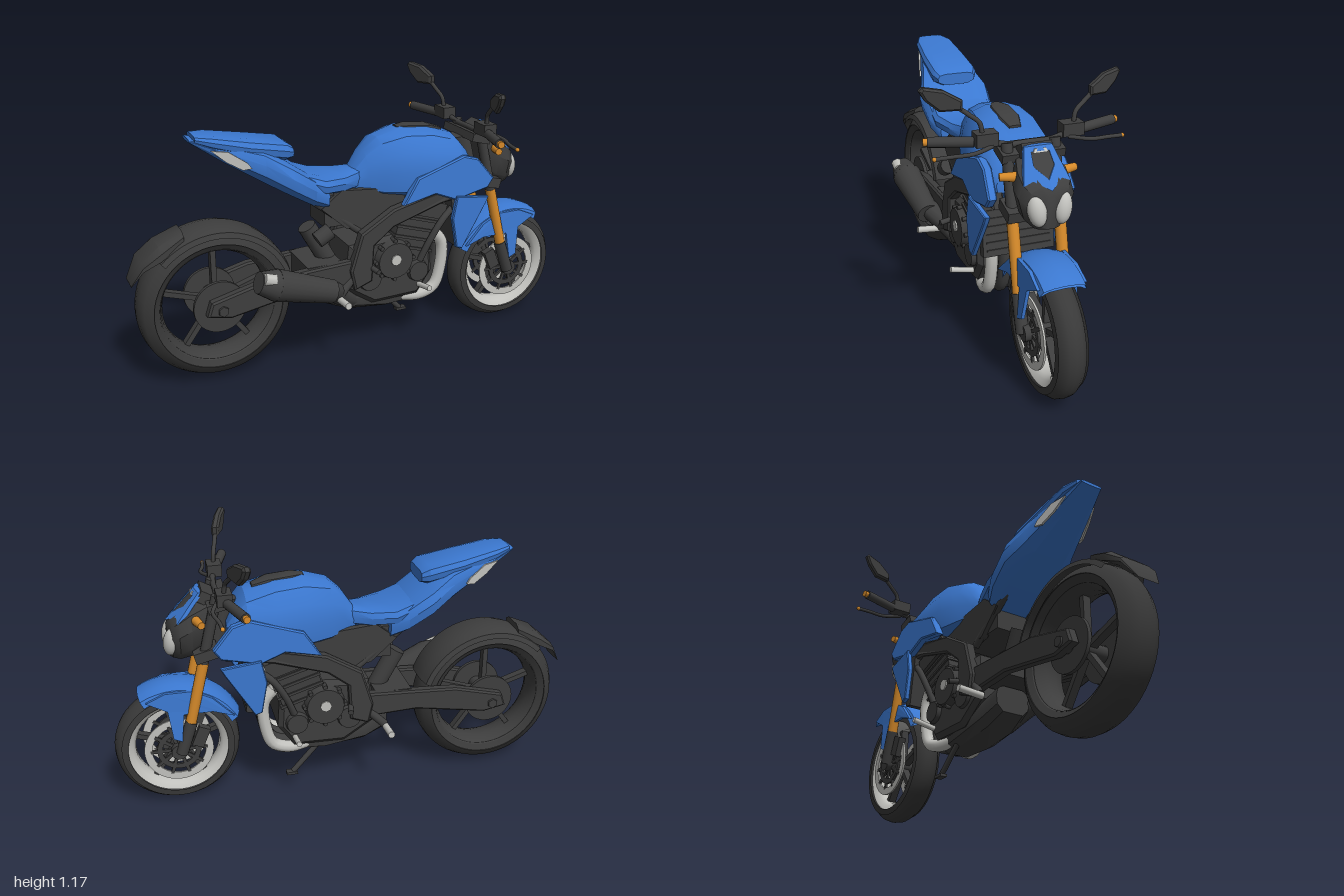
import * as THREE from 'three';
import { toCreasedNormals } from 'three/addons/utils/BufferGeometryUtils.js';

const paint = (name, color) => {
  const m = new THREE.MeshStandardMaterial({ color, side: THREE.DoubleSide });
  m.name = name;
  return m;
};

export function createModel() {
  const blue = paint('bluePaint', 0x3b78d0), dark = paint('charcoal', 0x3e3e3e), rubber = paint('rubber', 0x393939);
  const orange = paint('orange', 0xd68a2a), silver = paint('silver', 0xc2c2be);
  const root = new THREE.Group();
  const V = (p) => new THREE.Vector3(...p);

  function add(name, geo, mat, pos = [0, 0, 0]) {
    const m = new THREE.Mesh(geo, mat);
    m.name = name;
    m.position.set(...pos);
    root.add(m);
    return m;
  }
  const both = (fn) => [1, -1].forEach((s) => fn(s, s > 0 ? 'left' : 'right'));
  const box = (name, w, h, d, pos, mat, tilt = 0) => {
    add(name, new THREE.BoxGeometry(w, h, d), mat, pos).rotation.z = tilt;
  };
  // Straight rod between two points, radius r0 at a and r1 at b
  function bar(name, a, b, r0, mat, r1 = r0, n = 14) {
    const A = V(a), d = V(b).sub(A);
    const m = add(name, new THREE.CylinderGeometry(r1, r0, d.length(), n), mat);
    m.position.copy(A).addScaledVector(d, 0.5);
    m.quaternion.setFromUnitVectors(new THREE.Vector3(0, 1, 0), d.normalize());
  }
  const tube = (name, pts, r, mat) =>
    add(name, new THREE.TubeGeometry(new THREE.CatmullRomCurve3(pts.map(V)), 24, r, 10), mat);
  // Side outline in x,y; zAt gives the middle of the plate at each point
  function plate(name, pts, zAt, thick, mat, bevel = 0) {
    const shape = new THREE.Shape(pts.map((p) => new THREE.Vector2(...p)));
    const geo = new THREE.ExtrudeGeometry(shape, { depth: thick, bevelEnabled: bevel > 0,
      bevelSize: bevel, bevelOffset: -bevel, bevelThickness: bevel, bevelSegments: 1 });
    const p = geo.attributes.position;
    for (let i = 0; i < p.count; i++) p.setZ(i, p.getZ(i) - thick / 2 + zAt(p.getX(i), p.getY(i)));
    geo.computeVertexNormals();
    return add(name, geo, mat);
  }
  // The same, but the outline lies in z,y and the plate faces forwards
  const facing = (name, pts, xAt, thick, mat, bevel) => {
    plate(name, pts.map(([z, y]) => [-z, y]), xAt, thick, mat, bevel).rotation.y = Math.PI / 2;
  };
  // Closed body through sections [x, bottom, top, half width]; profile holds the left half in units
  function loft(name, sections, half, mat, crease = 0.55) {
    const ring = [...half, ...half.slice().reverse().map(([z, y]) => [-z, y])];
    const n = ring.length, pos = [], idx = [];
    sections.forEach(([x, b, t, w]) => ring.forEach(([z, y]) => pos.push(x, b + (t - b) * y, z * w)));
    for (let i = 0; i < sections.length - 1; i++) for (let j = 0; j < n; j++) {
      const a = i * n + j, b = i * n + (j + 1) % n;
      idx.push(a, a + n, b, b, a + n, b + n);
    }
    const e = (sections.length - 1) * n;
    for (let j = 1; j < n - 1; j++) idx.push(0, j, j + 1, e, e + j + 1, e + j);
    const geo = new THREE.BufferGeometry();
    geo.setAttribute('position', new THREE.Float32BufferAttribute(pos, 3));
    geo.setIndex(idx);
    add(name, toCreasedNormals(geo, crease), mat);
  }
  // Profile [radius, z] turned about the axle; angles run from +x towards up
  function turned(name, pts, mat, pos, from = 0, sweep = 360, n = 56) {
    const rad = Math.PI / 180;
    const geo = new THREE.LatheGeometry(pts.map((p) => new THREE.Vector2(...p)), n, from * rad + Math.PI / 2, sweep * rad);
    geo.rotateX(Math.PI / 2);
    add(name, toCreasedNormals(geo, 0.7), mat, pos);
  }
  const band = (r0, r1, w) => [[r0, -w], [r1, -w], [r1, w], [r0, w], [r0, -w]];

  // Wheels
  function wheel(name, c, R, ri, w, rimMat, rimIn) {
    turned(name + 'Tyre', [[ri, -w * 0.75], [ri + 0.03, -w * 0.95], [R - 0.055, -w], [R - 0.02, -w * 0.75], [R - 0.004, -w * 0.4],
      [R, 0], [R - 0.004, w * 0.4], [R - 0.02, w * 0.75], [R - 0.055, w], [ri + 0.03, w * 0.95], [ri, w * 0.75], [ri, -w * 0.75]], rubber, c);
    turned(name + 'Rim', [[rimIn, -0.02], [rimIn + 0.012, -w * 0.6], [ri + 0.004, -w * 0.8], [ri + 0.004, w * 0.8],
      [rimIn + 0.012, w * 0.6], [rimIn, 0.02], [rimIn, -0.02]], rimMat, c);
    bar(name + 'Hub', [c[0], c[1], -0.1], [c[0], c[1], 0.1], 0.034, dark);
    for (let i = 0; i < 5; i++) {
      const a = (i / 5) * Math.PI * 2 + Math.PI / 2, r = (rimIn + 0.03) / 2;
      box(name + 'Spoke', rimIn, 0.022, 0.035, [c[0] + Math.cos(a) * r, c[1] + Math.sin(a) * r, 0], dark, a);
    }
  }
  const FC = [0.73, 0.27, 0], RC = [-0.655, 0.345, 0];
  wheel('frontWheel', FC, 0.265, 0.208, 0.062, silver, 0.178);
  wheel('rearWheel', RC, 0.325, 0.24, 0.09, dark, 0.222);
  both((s, side) => {
    const c = [FC[0], FC[1], s * 0.07];
    turned(side + 'BrakeDisc', band(0.112, 0.145, 0.004), silver, c);
    turned(side + 'DiscCarrier', band(0.07, 0.092, 0.005), dark, c);
    for (let i = 0; i < 10; i++) {
      const a = i * Math.PI / 5;
      box(side + 'DiscArm', 0.09, 0.014, 0.01, [c[0] + Math.cos(a) * 0.075, c[1] + Math.sin(a) * 0.075, c[2]], dark, a);
    }
    box(side + 'Caliper', 0.05, 0.09, 0.035, [0.635, 0.33, s * 0.08], dark, 0.4);
    turned(side + 'RearDisc', band(0.035, 0.11, 0.008), dark, [RC[0], RC[1], s * 0.08]);
  });

  // Front mudguard with fork guards, and rear hugger
  turned('frontMudguard', [[0.255, -0.092], [0.285, -0.082], [0.298, -0.045], [0.302, 0], [0.298, 0.045], [0.285, 0.082], [0.255, 0.092],
    [0.28, 0.06], [0.288, 0], [0.28, -0.06], [0.255, -0.092]], blue, FC, 60, 93, 20);
  turned('rearHugger', [[0.3, -0.1], [0.322, -0.093], [0.333, -0.05], [0.335, 0], [0.333, 0.05], [0.322, 0.093], [0.3, 0.1]], dark, RC, 20, 115, 24);
  loft('huggerTail', [[-0.995, 0.48, 0.487, 0.05], [-0.95, 0.55, 0.575, 0.085], [-0.88, 0.585, 0.635, 0.095], [-0.78, 0.64, 0.68, 0.07]],
    [[0.5, 0], [1, 0], [1, 0.6], [0.6, 1]], dark);
  both((s, side) => {
    plate(side + 'ForkGuard', [[0.49, 0.42], [0.58, 0.45], [0.7, 0.45], [0.715, 0.33], [0.75, 0.345], [0.765, 0.47], [0.85, 0.515],
      [0.77, 0.55], [0.66, 0.55], [0.58, 0.51]], (x, y) => s * (0.09 + Math.max(0, 0.52 - y) * 0.1), 0.014, blue);
    // Forks
    bar(side + 'ForkTube', [0.535, 0.96, s * 0.095], [0.607, 0.67, s * 0.095], 0.022, dark);
    bar(side + 'ForkSleeve', [0.605, 0.675, s * 0.095], [0.68, 0.38, s * 0.095], 0.023, orange);
    bar(side + 'ForkFoot', [0.67, 0.41, s * 0.095], [0.72, 0.265, s * 0.095], 0.026, dark);
  });
  box('upperForkClamp', 0.09, 0.035, 0.25, [0.53, 0.92, 0], dark, -0.25);
  box('lowerForkClamp', 0.1, 0.045, 0.25, [0.59, 0.715, 0], dark, -0.25);
  bar('steeringHead', [0.49, 0.92, 0], [0.55, 0.69, 0], 0.045, dark);

  // Fuel tank, seat and tail
  const round = [[0.55, 0], [0.95, 0.12], [1, 0.42], [0.9, 0.7], [0.65, 0.92], [0.25, 1]];
  const boxy = [[0.6, 0], [0.95, 0.25], [1, 0.6], [0.9, 0.88], [0.6, 1]];
  loft('fuelTank', [[-0.04, 0.75, 0.83, 0.065], [0.01, 0.73, 0.905, 0.085], [0.07, 0.71, 0.96, 0.12], [0.18, 0.7, 0.99, 0.155],
    [0.3, 0.69, 0.982, 0.168], [0.42, 0.69, 0.945, 0.168], [0.47, 0.71, 0.885, 0.15], [0.5, 0.74, 0.83, 0.12]], round, blue);
  loft('tankCap', [[0.17, 0.97, 0.993, 0.02], [0.22, 0.97, 0.996, 0.04], [0.32, 0.96, 0.987, 0.042], [0.385, 0.94, 0.965, 0.025]], boxy, dark);
  loft('riderSeat', [[-0.38, 0.84, 0.92, 0.11], [-0.3, 0.8, 0.875, 0.14], [-0.2, 0.76, 0.838, 0.14], [-0.1, 0.75, 0.83, 0.105],
    [-0.03, 0.75, 0.835, 0.07], [0.01, 0.77, 0.85, 0.055]], boxy, blue);
  loft('passengerSeat', [[-0.71, 1.025, 1.055, 0.06], [-0.65, 1, 1.052, 0.085], [-0.5, 0.95, 1.025, 0.098], [-0.35, 0.92, 0.998, 0.102],
    [-0.318, 0.925, 0.975, 0.085]], boxy, blue);
  loft('tailFairing', [[-0.73, 1.03, 1.043, 0.051], [-0.6, 0.94, 1.015, 0.085], [-0.45, 0.845, 0.98, 0.125], [-0.35, 0.785, 0.92, 0.162],
    [-0.25, 0.725, 0.85, 0.152], [-0.18, 0.69, 0.81, 0.12]], boxy, blue);
  both((s, side) => {
    plate(side + 'TailLight', [[-0.655, 0.998], [-0.59, 0.99], [-0.52, 0.942], [-0.505, 0.92], [-0.54, 0.915], [-0.6, 0.95]],
      (x) => s * (0.087 + 0.267 * (x + 0.6)), 0.009, silver);
    plate(side + 'SidePanel', [[-0.21, 0.7], [-0.12, 0.77], [0.1, 0.75], [0.22, 0.7], [0.02, 0.58], [-0.1, 0.6]], () => s * 0.085, 0.03, dark);
    // Tank wings and radiator shrouds
    plate(side + 'TankWing', [[0.13, 0.69], [0.2, 0.8], [0.42, 0.87], [0.49, 0.85], [0.57, 0.755], [0.54, 0.715], [0.38, 0.68], [0.28, 0.72]],
      (x, y) => s * (0.155 + 0.07 * (0.8 - y)), 0.025, blue, 0.006);
    plate(side + 'RadiatorShroud', [[0.38, 0.7], [0.545, 0.675], [0.53, 0.645], [0.415, 0.455], [0.385, 0.465], [0.36, 0.6]],
      (x) => s * (0.172 + 0.06 * (0.5 - x)), 0.016, blue, 0.004);
    // Main frame spar and rear subframe
    plate(side + 'FrameSpar', [[0.5, 0.75], [0.3, 0.72], [0.1, 0.67], [-0.05, 0.58], [-0.1, 0.42], [-0.08, 0.33], [0, 0.36], [0.01, 0.52],
      [0.1, 0.59], [0.32, 0.66], [0.52, 0.69]], (x) => s * (0.125 - 0.04 * Math.max(0, x - 0.3)), 0.035, dark, 0.008);
    bar(side + 'SubframeTube', [-0.04, 0.58, s * 0.09], [-0.35, 0.82, s * 0.07], 0.016, dark);
    // Swingarm
    plate(side + 'Swingarm', [[-0.08, 0.46], [-0.3, 0.45], [-0.48, 0.44], [-0.7, 0.385], [-0.72, 0.325], [-0.62, 0.305], [-0.3, 0.36], [-0.08, 0.35]],
      () => s * 0.108, 0.03, dark, 0.008);
    bar(side + 'AxleNut', [RC[0], RC[1], s * 0.09], [RC[0], RC[1], s * 0.14], 0.028, dark, 0.022, 6);
  });
  box('swingarmBridge', 0.16, 0.09, 0.22, [-0.2, 0.41, 0], dark);
  bar('shockAbsorber', [-0.24, 0.6, 0], [-0.13, 0.4, 0], 0.04, dark);
  bar('shockReservoir', [-0.23, 0.565, 0.09], [-0.17, 0.6, 0.09], 0.035, dark);
  box('batteryBox', 0.26, 0.14, 0.16, [-0.06, 0.68, 0], dark);

  // Engine
  plate('crankcase', [[-0.09, 0.52], [-0.11, 0.32], [0.02, 0.235], [0.24, 0.24], [0.31, 0.34], [0.3, 0.47], [0.12, 0.54]], () => 0, 0.2, dark, 0.02);
  box('cylinderBlock', 0.19, 0.24, 0.24, [0.22, 0.54, 0], dark, -0.3);
  for (let i = 0; i < 4; i++) box('coolingRib', 0.205, 0.012, 0.255, [0.2 + i * 0.013, 0.47 + i * 0.042, 0], dark, -0.3);
  box('cylinderHead', 0.2, 0.07, 0.27, [0.26, 0.645, 0], dark, -0.3);
  box('airBox', 0.34, 0.1, 0.17, [0.12, 0.69, 0], dark);
  both((s, side) => {
    bar(side + 'EngineCover', [0.11, 0.435, s * 0.1], [0.11, 0.435, s * 0.152], 0.095, dark, 0.08, 24);
    bar(side + 'CoverCap', [0.11, 0.44, s * 0.15], [0.11, 0.44, s * 0.158], 0.025, silver, 0.025, 8);
    for (let i = 0; i < 8; i++) {
      const a = i * Math.PI / 4, x = 0.11 + Math.cos(a) * 0.088, y = 0.435 + Math.sin(a) * 0.088;
      bar(side + 'CoverBolt', [x, y, s * 0.1], [x, y, s * 0.145], 0.01, dark, 0.01, 6);
    }
    bar(side + 'GearCover', [0, 0.36, s * 0.1], [0, 0.36, s * 0.135], 0.06, dark, 0.05, 16);
    bar(side + 'SideCover', [0.23, 0.36, s * 0.1], [0.23, 0.36, s * 0.14], 0.055, dark, 0.045, 16);
    tube(side + 'CoolantHose', [[0.39, 0.63, s * 0.13], [0.33, 0.58, s * 0.145], [0.28, 0.5, s * 0.14], [0.24, 0.4, s * 0.12]], 0.015, dark);
    // Footrests
    bar(side + 'Footrest', [-0.155, 0.305, s * 0.13], [-0.155, 0.315, s * 0.245], 0.015, silver);
    bar(side + 'FootrestBracket', [-0.08, 0.38, s * 0.12], [-0.155, 0.31, s * 0.14], 0.018, dark);
    bar(side + 'FrontPeg', [0.24, 0.29, s * 0.12], [0.24, 0.31, s * 0.22], 0.012, silver);
    bar(side + 'RearPegArm', [0, 0.42, s * 0.14], [0.01, 0.415, s * 0.19], 0.012, dark);
    // Exhaust headers, silver outside and dark inside
    [[0.088, silver], [0.03, dark]].forEach(([z, mat]) => tube(side + 'ExhaustHeader', [[0.32, 0.52, s * z], [0.365, 0.46, s * z],
      [0.362, 0.34, s * z], [0.33, 0.255, s * z], [0.26, 0.225, s * z * 0.95], [0.18, 0.225, s * z * 0.7]], 0.027, mat));
  });
  box('radiator', 0.04, 0.25, 0.3, [0.41, 0.575, 0], dark, 0.15);
  for (let i = 0; i < 7; i++) box('radiatorFin', 0.006, 0.006, 0.27, [0.445 - i * 0.005, 0.48 + i * 0.032, 0], dark);

  // Exhaust
  loft('exhaustCollector', [[0.24, 0.19, 0.26, 0.08], [0.1, 0.19, 0.27, 0.1], [-0.08, 0.21, 0.32, 0.1], [-0.18, 0.25, 0.36, 0.08]], boxy, dark);
  tube('exhaustPipe', [[-0.05, 0.25, 0.05], [-0.13, 0.3, 0.09], [-0.2, 0.36, 0.15], [-0.27, 0.39, 0.19]], 0.045, dark);
  bar('muffler', [-0.2, 0.365, 0.18], [-0.46, 0.455, 0.205], 0.05, dark, 0.067, 18);
  bar('mufflerEnd', [-0.455, 0.453, 0.205], [-0.53, 0.48, 0.21], 0.067, dark, 0.045, 18);
  bar('mufflerTip', [-0.47, 0.488, 0.237], [-0.515, 0.503, 0.238], 0.026, silver, 0.026, 8);
  // Side stand
  bar('sideStand', [0.1, 0.24, -0.06], [0.245, 0.09, -0.075], 0.012, dark);
  box('sideStandFoot', 0.05, 0.012, 0.03, [0.25, 0.086, -0.075], dark);

  // Headlight, cowl and instruments
  loft('headlightShell', [[0.57, 0.74, 0.93, 0.085], [0.64, 0.69, 0.91, 0.11], [0.69, 0.68, 0.875, 0.108], [0.72, 0.685, 0.85, 0.085], [0.738, 0.69, 0.82, 0.03]],
    [[0.45, 0], [0.8, 0.2], [1, 0.6], [0.85, 0.88], [0.4, 1]], dark);
  const cowlX = (u, y) => 0.615 + (0.96 - y) * 0.95 - Math.abs(u) * 0.35;
  both((s, side) => {
    const lens = add(side + 'HeadlightLens', new THREE.SphereGeometry(1, 20, 14), silver, [0.722, 0.762, s * 0.05]);
    lens.scale.set(0.034, 0.062, 0.036);
    lens.rotation.set(s * 0.2, s * -0.3, 0.12, 'YXZ');
    facing(side + 'CowlFrame', [[0, 0.968], [s * 0.055, 0.962], [s * 0.075, 0.9], [s * 0.092, 0.85], [s * 0.055, 0.865], [0, 0.838],
      [0, 0.87], [s * 0.04, 0.905], [s * 0.035, 0.948], [0, 0.952]], cowlX, 0.02, blue);
    bar(side + 'TurnSignal', [0.625, 0.86, s * 0.08], [0.605, 0.86, s * 0.15], 0.02, orange, 0.015);
    // Handlebar, grips, levers and mirrors
    tube(side + 'Handlebar', [[0.53, 0.95, 0], [0.53, 0.95, s * 0.08], [0.52, 0.965, s * 0.16], [0.46, 0.97, s * 0.37]], 0.012, dark);
    bar(side + 'Grip', [0.505, 0.967, s * 0.21], [0.458, 0.97, s * 0.372], 0.02, dark);
    bar(side + 'BarEnd', [0.459, 0.97, s * 0.37], [0.455, 0.97, s * 0.388], 0.014, orange);
    box(side + 'SwitchBlock', 0.06, 0.05, 0.085, [0.515, 0.98, s * 0.17], dark);
    tube(side + 'Lever', [[0.54, 0.955, s * 0.15], [0.565, 0.945, s * 0.23], [0.55, 0.938, s * 0.31], [0.545, 0.935, s * 0.37]], 0.008, dark);
    add(side + 'LeverTip', new THREE.SphereGeometry(0.009, 10, 8), orange, [0.545, 0.935, s * 0.372]);
    tube(side + 'MirrorStem', [[0.515, 0.99, s * 0.18], [0.51, 1.04, s * 0.19], [0.5, 1.07, s * 0.225], [0.49, 1.1, s * 0.265]], 0.009, dark);
    facing(side + 'Mirror', [[0.397, 1.16], [0.385, 1.175], [0.315, 1.165], [0.25, 1.128], [0.252, 1.09], [0.33, 1.085], [0.377, 1.125]]
      .map(([z, y]) => [s * z, y]), (u) => 0.51 - 0.33 * (Math.abs(u) - 0.2), 0.016, dark, 0.008);
  });
  facing('cowlWindow', [[-0.04, 0.952], [0.04, 0.952], [0.045, 0.905], [0, 0.865], [-0.045, 0.905]], cowlX, 0.012, dark);
  facing('instrumentScreen', [[-0.03, 0.945], [0.03, 0.945], [0.022, 0.958], [-0.022, 0.958]], (u, y) => cowlX(u, y) + 0.01, 0.008, silver);
  box('instrumentPanel', 0.06, 0.05, 0.12, [0.575, 0.935, 0], dark, 0.5);
  return root;
}
